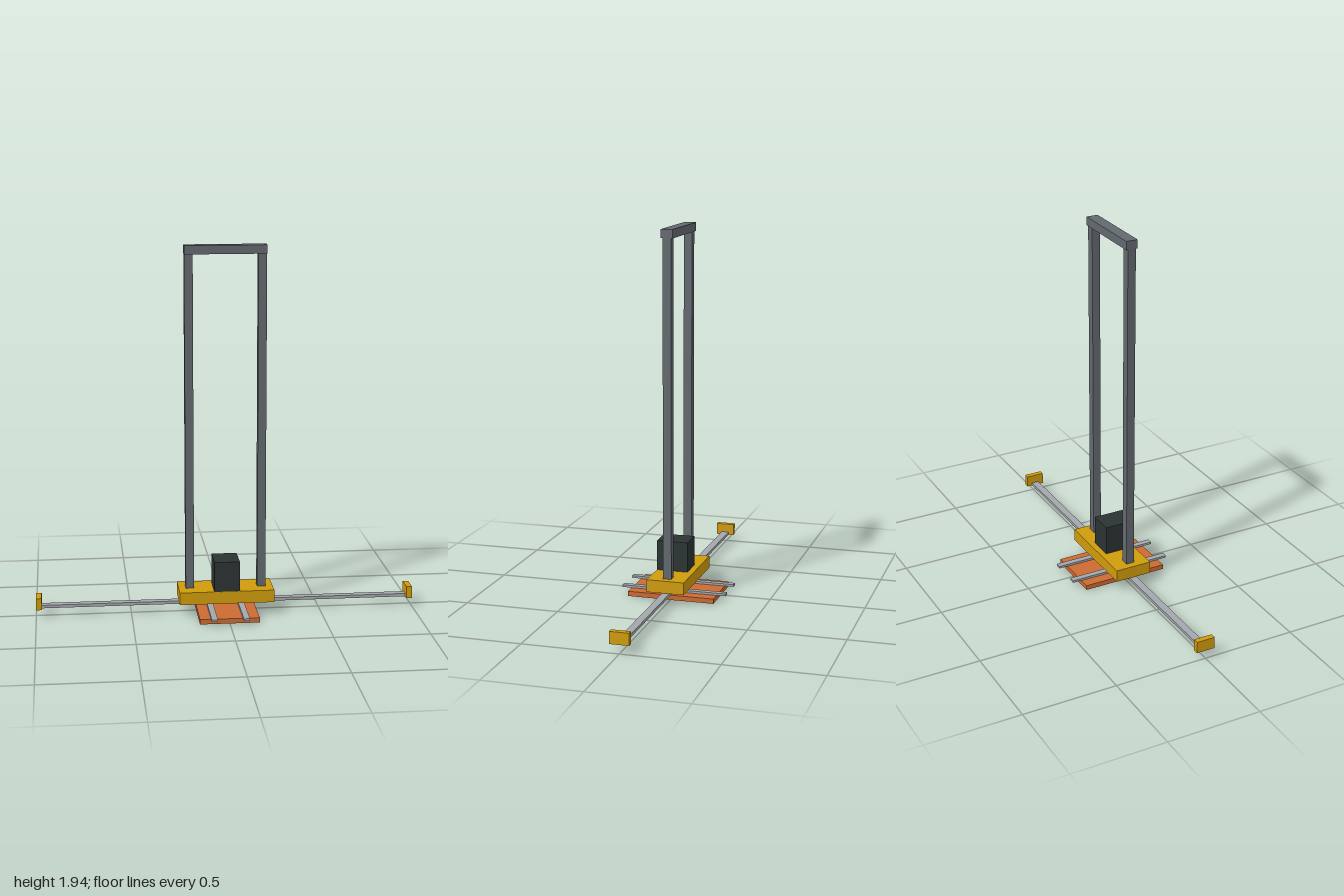
import * as THREE from 'three';

const mat = (name, color) => {
  const m = new THREE.MeshStandardMaterial({ color });
  m.name = name;
  return m;
};

export function createModel() {
  const model = new THREE.Group();
  model.name = 'mastCarriage';
  const yellow = mat('safety yellow', 0xd09c0c);
  const orange = mat('orange', 0xcc6a33);
  const steel = mat('dark steel', 0x63696f);
  const rail = mat('light steel', 0xa3a8ad);
  const black = mat('motor black', 0x2b3333);

  // Box given by its [min, max] range on each axis
  const box = (name, material, [x0, x1], [y0, y1], [z0, z1], parent = model) => {
    const mesh = new THREE.Mesh(new THREE.BoxGeometry(x1 - x0, y1 - y0, z1 - z0), material);
    mesh.position.set((x0 + x1) / 2, (y0 + y1) / 2, (z0 + z1) / 2);
    mesh.name = name;
    parent.add(mesh);
  };

  // Cover with a top and four walls, open underneath
  const cover = (name, material, [x0, x1], [y0, y1], [z0, z1], t) => {
    const g = new THREE.Group();
    g.name = name;
    box(name + 'Top', material, [x0, x1], [y1 - t, y1], [z0, z1], g);
    box(name + 'Back', material, [x0, x1], [y0, y1 - t], [z0, z0 + t], g);
    box(name + 'Front', material, [x0, x1], [y0, y1 - t], [z1 - t, z1], g);
    box(name + 'Right', material, [x0, x0 + t], [y0, y1 - t], [z0 + t, z1 - t], g);
    box(name + 'Left', material, [x1 - t, x1], [y0, y1 - t], [z0 + t, z1 - t], g);
    model.add(g);
  };

  // Base plate with two cross runners
  box('basePlate', orange, [-0.156, 0.156], [0, 0.026], [-0.233, 0.233]);
  for (const s of [-1, 1]) {
    const x = s * 0.083;
    box('crossRunner', rail, [x - 0.016, x + 0.016], [0.028, 0.04], [-0.283, 0.283]);
  }

  // Long rail and its end stops
  box('longRail', rail, [-0.985, 0.985], [0.045, 0.061], [-0.02, 0.02]);
  for (const s of [-1, 1]) {
    const x = s * 0.985;
    cover('endStop', yellow, [x - 0.015, x + 0.015], [0.045, 0.108], [-0.05, 0.05], 0.006);
  }

  // Carriage and motor
  cover('carriage', yellow, [-0.25, 0.25], [0.064, 0.13], [-0.1, 0.1], 0.012);
  box('motor', black, [-0.067, 0.067], [0.13, 0.29], [-0.067, 0.099]);

  // Twin masts joined by a top beam
  for (const s of [-1, 1]) {
    const x = s * 0.19;
    box('mast', steel, [x - 0.022, x + 0.022], [0.13, 1.895], [-0.022, 0.022]);
  }
  box('topBeam', steel, [-0.212, 0.212], [1.895, 1.94], [-0.031, 0.031]);

  return model;
}
